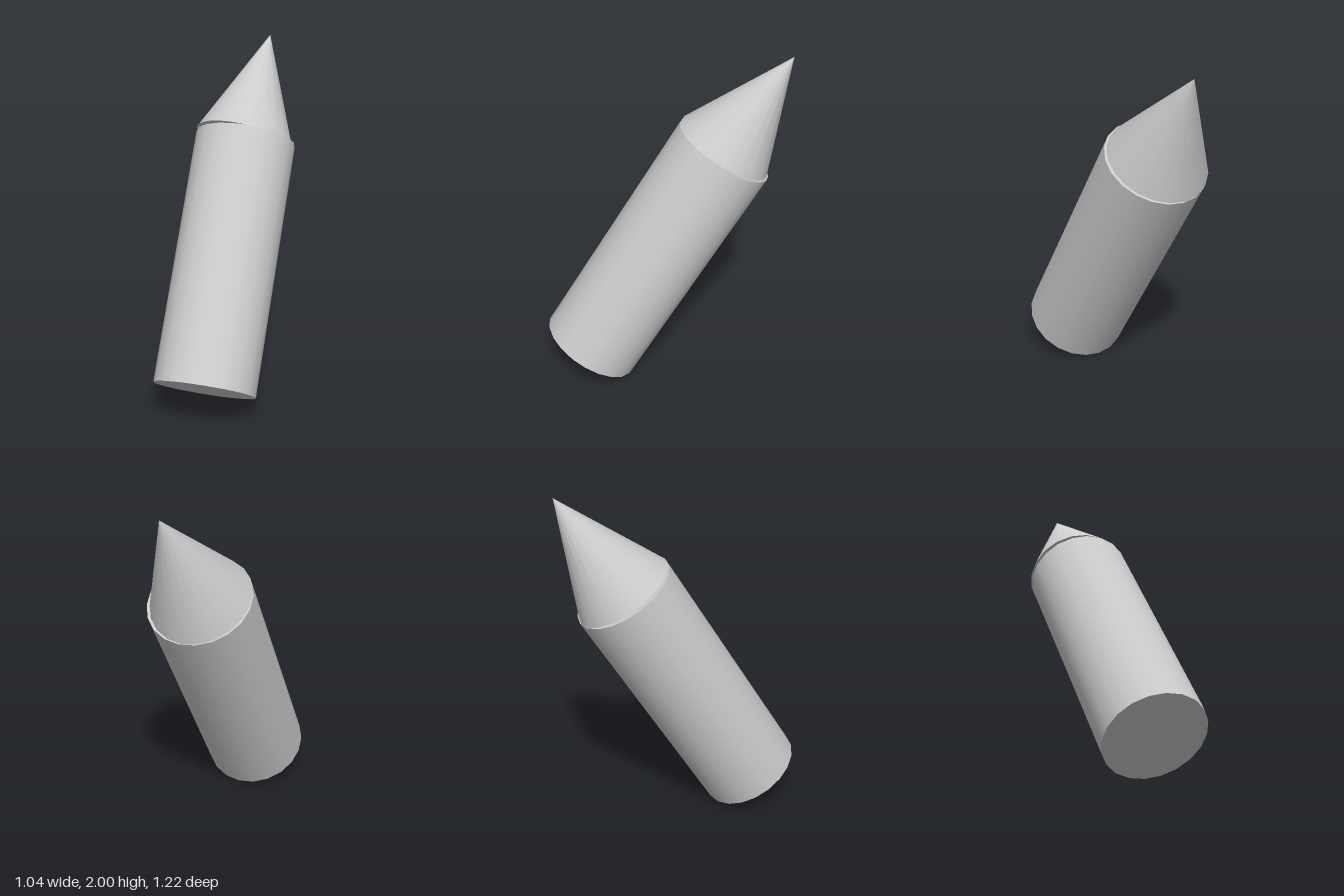
import * as THREE from 'three';

const UP = new THREE.Vector3(0, 1, 0);
const SIDES = 20;

// Round part stretched between the centres of its two ends
function roundPart(name, from, to, bottomRadius, topRadius) {
  const start = new THREE.Vector3(...from);
  const end = new THREE.Vector3(...to);
  const axis = end.clone().sub(start);
  const geometry = new THREE.CylinderGeometry(topRadius, bottomRadius, axis.length(), SIDES);
  const mesh = new THREE.Mesh(geometry, new THREE.MeshStandardMaterial({ color: 0xcccccc }));
  mesh.name = name;
  mesh.position.copy(start).add(end).multiplyScalar(0.5);
  mesh.quaternion.setFromUnitVectors(UP, axis.normalize());
  return mesh;
}

export function createModel() {
  const group = new THREE.Group();
  group.name = 'leaningPencil';

  // Leaning barrel
  group.add(roundPart('barrel', [0.235, 0.157, 0.345], [-0.235, 1.435, -0.293], 0.296, 0.296));

  // Pointed tip, set slightly off the barrel's axis
  group.add(roundPart('tip', [-0.241, 1.437, -0.29], [-0.415, 2, -0.612], 0.293, 0));

  return group;
}
